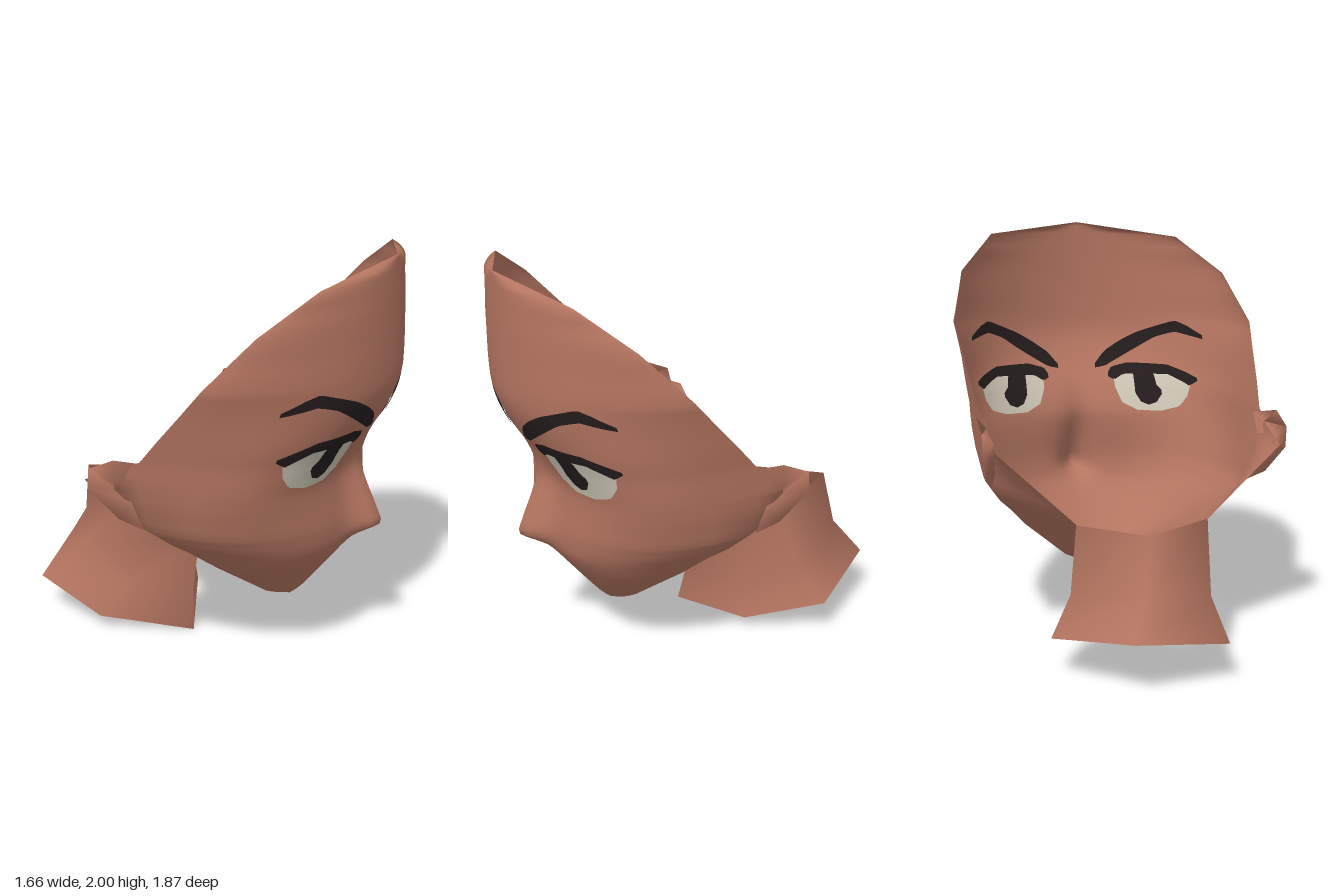
import * as THREE from 'three';
import { mergeGeometries, mergeVertices } from 'three/addons/utils/BufferGeometryUtils.js';

const material = (name, color) =>
  new THREE.MeshStandardMaterial({ name, color, side: THREE.DoubleSide });

// Smooth surface through rows of points
function loft(rows, closed = false) {
  const n = rows[0].length, index = [];
  for (let i = 0; i < rows.length - 1; i++) {
    for (let j = 0; j < (closed ? n : n - 1); j++) {
      const k = (j + 1) % n, a = i * n + j, b = a + n, c = i * n + k, d = c + n;
      index.push(a, b, c, c, b, d);
    }
  }
  const g = new THREE.BufferGeometry();
  g.setAttribute('position', new THREE.Float32BufferAttribute(rows.flat(2), 3));
  g.setIndex(index);
  g.computeVertexNormals();
  return g;
}

// Face levels: height, edge half-width, edge depth, centre depth, roundness, nose height
const LEVELS = [
  [2.0, 0, 0.92, 0.92, 1.9, 0],
  [1.94, 0.51, 0.74, 0.922, 1.8, 0],
  [1.765, 0.707, 0.53, 0.928, 1.5, 0],
  [1.53, 0.785, 0.31, 0.932, 1.2, 0],
  [1.4, 0.765, 0.2, 0.925, 1.02, 0],
  [1.25, 0.742, 0.07, 0.865, 0.74, 0],
  [1.13, 0.72, -0.03, 0.79, 0.57, 0.01],
  [1.0, 0.705, -0.05, 0.73, 0.5, 0.04],
  [0.9, 0.69, -0.045, 0.73, 0.56, 0.07],
  [0.76, 0.655, -0.02, 0.75, 0.68, 0.11],
  [0.68, 0.595, 0.06, 0.75, 0.74, 0.125],
  [0.61, 0.52, 0.14, 0.735, 0.74, 0.02],
  [0.515, 0.43, 0.22, 0.67, 0.73, 0],
  [0.3, 0.17, 0.36, 0.5, 0.7, 0],
  [0.22, 0, 0.42, 0.42, 0.7, 0],
];

// Level values at a height: straight along the rim, smooth down the middle
function levelAt(y) {
  let i = 0;
  while (i < LEVELS.length - 2 && y < LEVELS[i + 1][0]) i++;
  const a = LEVELS[i], b = LEVELS[i + 1], h = b[0] - a[0], t = (y - a[0]) / h;
  const slope = (k, c) => {
    const p = LEVELS[Math.max(k - 1, 0)], q = LEVELS[Math.min(k + 1, LEVELS.length - 1)];
    return (q[c] - p[c]) / (q[0] - p[0]);
  };
  return a.map((v, c) => {
    if (c < 3) return v + (b[c] - v) * t;
    const t2 = t * t, t3 = t2 * t;
    return v * (2 * t3 - 3 * t2 + 1) + b[c] * (3 * t2 - 2 * t3)
      + h * (slope(i, c) * (t3 - 2 * t2 + t) + slope(i + 1, c) * (t3 - t2));
  });
}

// Depth of the face at sideways offset u and height y
function faceDepth(u, y) {
  const [, ue, we, wc, round, nose] = levelAt(y);
  const s = ue > 0 ? Math.min(1, Math.abs(u) / ue) : 0;
  const c = Math.pow(Math.max(0, 1 - s * s), round / 2);
  return we + (wc - we) * c + nose * Math.exp(-((u / 0.075) ** 2)) * c;
}

// Rear boundary of the jaw: [face height, point], from behind the ear to the throat
const REAR = [
  [1.13, [0.72, 1.13, -0.03]], [1.0, [0.712, 1.0, -0.32]], [0.76, [0.33, 0.66, -0.376]],
  [0.515, [0.22, 0.51, -0.19]], [0.3, [0.1, 0.43, -0.13]], [0.22, [0, 0.4, -0.08]],
];
function rearAt(y) {
  let i = 0;
  while (i < REAR.length - 2 && y < REAR[i + 1][0]) i++;
  const [ya, a] = REAR[i], [yb, b] = REAR[i + 1];
  return a.map((v, c) => THREE.MathUtils.mapLinear(y, ya, yb, v, b[c]));
}

// Face, jaw sides and underside of the chin as one smooth shell
function faceGeometry() {
  const rows = [], left = [], right = [], half = 16, split = 3;
  for (let i = 0; i < (LEVELS.length - 1) * split + 1; i++) {
    const k = Math.min(Math.floor(i / split), LEVELS.length - 2);
    const y = THREE.MathUtils.lerp(LEVELS[k][0], LEVELS[k + 1][0], i / split - k);
    const ue = levelAt(y)[1], row = [];
    for (let j = -half; j <= half; j++) {
      const s = Math.abs(j) / half;
      const u = Math.sign(j) * ue * Math.sin(Math.PI / 2 * Math.pow(s, 1.15));
      row.push([u, y, faceDepth(u, y)]);
    }
    rows.push(row);
    if (y < 1.131) {
      const edge = row[2 * half], rear = rearAt(y);
      const strip = [0, 0.5, 1].map((t) => edge.map((v, c) => v + (rear[c] - v) * t));
      left.push(strip);
      right.push(strip.map(([x, h, z]) => [-x, h, z]).reverse());
    }
  }
  const parts = [rows, left, right].map((r) => loft(r).deleteAttribute('normal'));
  const shell = mergeVertices(mergeGeometries(parts), 1e-4);
  shell.computeVertexNormals();
  return shell;
}

// Height on a polyline of [u, y] points
function along(line, u) {
  let i = 0;
  while (i < line.length - 2 && u > line[i + 1][0]) i++;
  const [a, b] = [line[i], line[i + 1]];
  return THREE.MathUtils.mapLinear(u, a[0], b[0], a[1], b[1]);
}

// Painted patch between two lines, draped on the face
function patch(top, bottom, side, lift) {
  const rows = [], nu = 24, nv = 6, u0 = top[0][0], u1 = top[top.length - 1][0];
  for (let i = 0; i <= nv; i++) {
    const row = [];
    for (let j = 0; j <= nu; j++) {
      const u = THREE.MathUtils.lerp(u0, u1, j / nu);
      const y = THREE.MathUtils.lerp(along(top, u), along(bottom, u), i / nv);
      row.push([side * u, y, faceDepth(u, y) + lift]);
    }
    rows.push(row);
  }
  return loft(rows);
}

const PAINT = [
  ['eyeWhite', 'white', 0.005,
    [[0.2, 1.17], [0.25, 1.2], [0.5, 1.2], [0.575, 1.17]],
    [[0.2, 1.12], [0.23, 1.04], [0.31, 1.0], [0.43, 1.0], [0.52, 1.03], [0.56, 1.09], [0.575, 1.15]]],
  ['iris', 'dark', 0.009,
    [[0.305, 1.2], [0.41, 1.2], [0.415, 1.14], [0.44, 1.11]],
    [[0.305, 1.09], [0.33, 1.045], [0.37, 1.03], [0.41, 1.045], [0.44, 1.09]]],
  ['eyelash', 'dark', 0.009,
    [[0.17, 1.19], [0.19, 1.22], [0.28, 1.245], [0.48, 1.245], [0.56, 1.215], [0.605, 1.19]],
    [[0.17, 1.17], [0.2, 1.155], [0.25, 1.185], [0.48, 1.195], [0.54, 1.165], [0.57, 1.145], [0.605, 1.175]]],
  ['eyebrow', 'dark', 0.008,
    [[0.105, 1.235], [0.16, 1.3], [0.25, 1.36], [0.34, 1.41], [0.52, 1.485], [0.57, 1.465], [0.635, 1.42]],
    [[0.105, 1.215], [0.16, 1.225], [0.25, 1.275], [0.34, 1.33], [0.43, 1.39], [0.52, 1.425], [0.635, 1.4]]],
];

// Ear rim, with matching points on the head behind it
const EAR_RIM = [[0.69, 1.11, -0.02], [0.765, 1.14, -0.14], [0.765, 1.08, -0.27],
  [0.76, 0.98, -0.28], [0.715, 0.83, -0.15], [0.665, 0.77, -0.05]];
const EAR_BACK = [[0.69, 1.11, -0.02], [0.71, 1.08, -0.12], [0.705, 1.03, -0.26],
  [0.7, 0.97, -0.26], [0.67, 0.86, -0.14], [0.665, 0.77, -0.05]];

export function createModel() {
  const model = new THREE.Group();
  model.name = 'bust';
  const mats = {
    skin: material('skin', 0xb47560),
    white: material('eyeWhite', 0xcbc5b4),
    dark: material('darkHair', 0x241c1d),
  };
  const add = (parent, name, geometry, mat) => {
    const mesh = new THREE.Mesh(geometry, mats[mat]);
    mesh.name = name;
    parent.add(mesh);
  };

  // Head turned to its left and tilted slightly, pivoting at the chin
  const head = new THREE.Group();
  head.name = 'head';
  head.rotation.set(0, THREE.MathUtils.degToRad(25), 0.035, 'YXZ');
  head.position.y = 0.22;
  const inner = new THREE.Group();
  inner.name = 'headParts';
  inner.position.y = -0.22;
  head.add(inner);
  model.add(head);

  add(inner, 'face', faceGeometry(), 'skin');

  for (const side of [1, -1]) {
    const label = side > 0 ? 'left' : 'right';
    const flip = (pts) => pts.map(([x, y, z]) => [side * x, y, z]);
    const hollow = EAR_RIM.map(([x, y, z]) =>
      [0.3 * x + 0.7 * 0.69, 0.3 * y + 0.7 * 0.97, 0.3 * z - 0.7 * 0.12]);
    add(inner, label + 'Ear', loft([flip(hollow), flip(EAR_RIM), flip(EAR_BACK)]), 'skin');

    // Eyes and brows show on both faces of the shell
    for (const [name, mat, lift, top, bottom] of PAINT) {
      add(inner, `${label}_${name}`, patch(top, bottom, side, lift), mat);
      add(inner, `${label}_${name}Inside`, patch(top, bottom, side, -lift), mat);
    }
  }

  // Six-sided open neck flaring to the shoulders
  const neck = [
    [[-0.04, 0.4, -0.07], [0.11, 0.517, -0.26], [0.127, 0.67, -0.475],
      [-0.25, 0.7, -0.72], [-0.47, 0.65, -0.2], [-0.29, 0.5, -0.075]],
    [[-0.14, 0.19, 0], [0.1, 0.25, -0.28], [0.14, 0.36, -0.57],
      [-0.23, 0.43, -0.78], [-0.51, 0.36, -0.5], [-0.42, 0.24, -0.2]],
    [[-0.17, 0, 0.04], [0.15, 0.07, -0.3], [0.21, 0.19, -0.7],
      [-0.21, 0.26, -0.93], [-0.61, 0.19, -0.66], [-0.52, 0.07, -0.28]],
  ];
  add(model, 'neck', loft(neck, true), 'skin');
  return model;
}
